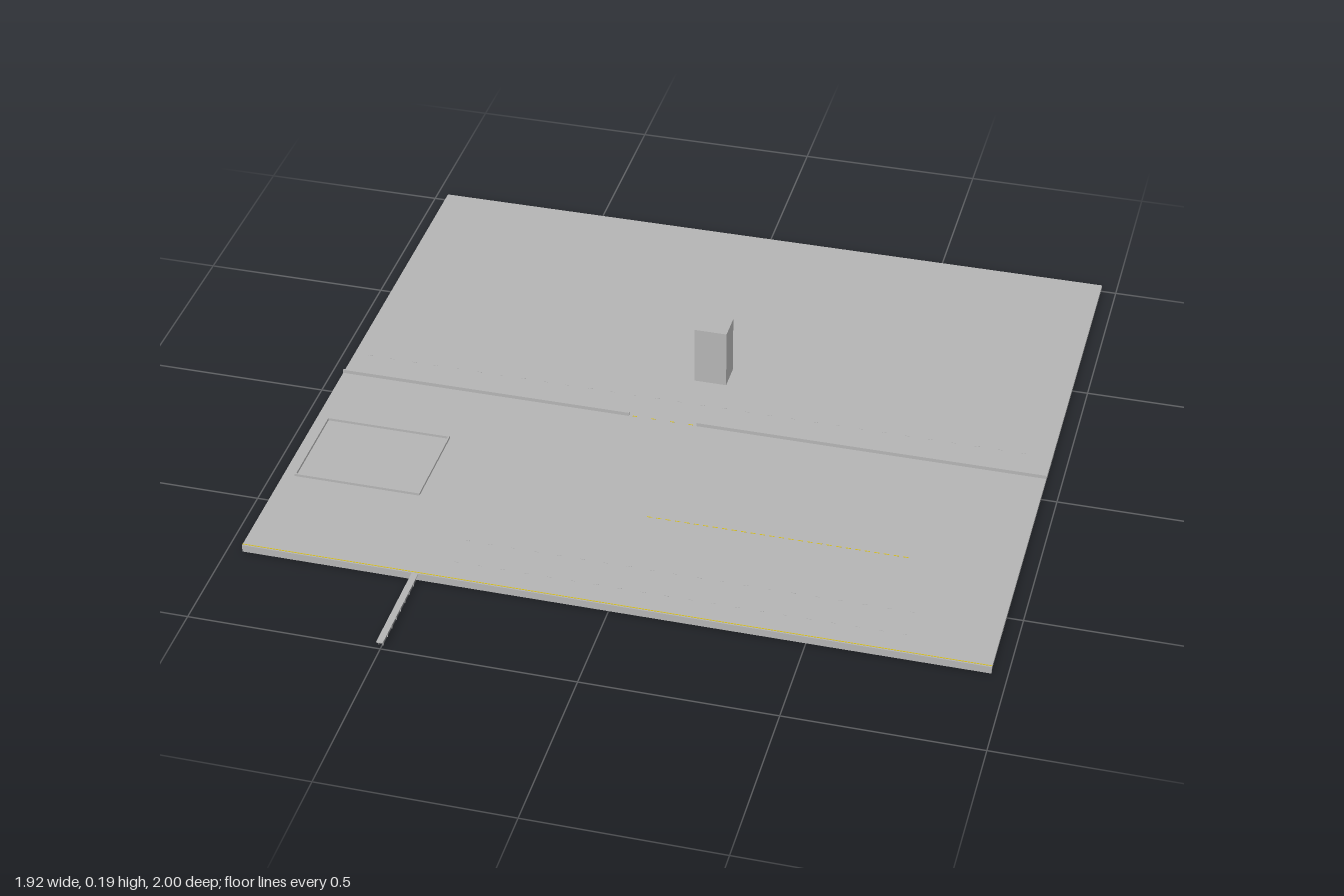
import * as THREE from 'three';

const concrete = new THREE.MeshStandardMaterial({ color: 0xb4b4b4 });
concrete.name = 'concrete grey';
const yellow = new THREE.MeshStandardMaterial({ color: 0xd8c020 });
yellow.name = 'marking yellow';

const TOP = 0.02; // ground level

// Box given by its limits on each axis
function block(parent, name, [x0, x1], [y0, y1], [z0, z1], material = concrete) {
  const mesh = new THREE.Mesh(new THREE.BoxGeometry(x1 - x0, y1 - y0, z1 - z0), material);
  mesh.position.set((x0 + x1) / 2, (y0 + y1) / 2, (z0 + z1) / 2);
  mesh.name = name;
  parent.add(mesh);
}

function group(parent, name) {
  const g = new THREE.Group();
  g.name = name;
  parent.add(g);
  return g;
}

// Row of thin dashes along x
function dashRow(parent, name, x0, x1, z, count, length, material) {
  const row = group(parent, name);
  for (let i = 0; i < count; i++) {
    const x = x0 + (x1 - x0 - length) * i / (count - 1);
    block(row, 'dash', [x, x + length], [TOP, TOP + 0.001], [z - 0.001, z + 0.001], material);
  }
}

export function createModel() {
  const model = new THREE.Group();
  model.name = 'harbourYard';
  const width = [-0.96, 0.96];

  // Ground slab, with shallow foundation strips under the roads
  block(model, 'groundSlab', width, [0.01, TOP], [-1, 0.72]);
  const strips = group(model, 'foundationStrips');
  for (const [z0, z1] of [[-0.19, -0.165], [-0.15, -0.125], [-0.11, -0.08], [0.555, 0.565]]) {
    block(strips, 'foundationStrip', width, [0.008, 0.0105], [z0, z1]);
  }

  // Quay wall and its yellow edge
  block(model, 'quayWall', width, [0, 0.0105], [0.716, 0.72]);
  block(model, 'quayEdgeLine', width, [TOP, TOP + 0.001], [0.714, 0.716], yellow);

  // Boundary wall with a gate opening
  block(model, 'boundaryWallRight', [-0.96, -0.16], [TOP, 0.03], [-0.068, -0.064]);
  block(model, 'boundaryWallLeft', [0.025, 0.96], [TOP, 0.03], [-0.068, -0.064]);
  dashRow(model, 'gateLine', -0.15, 0.015, -0.066, 4, 0.012, yellow);

  // Low kerb around the storage yard
  const kerb = group(model, 'yardKerb');
  for (const z of [0.15, 0.406]) block(kerb, 'longKerb', [-0.93, -0.59], [TOP, 0.027], [z, z + 0.004]);
  for (const x of [-0.93, -0.594]) block(kerb, 'shortKerb', [x, x + 0.004], [TOP, 0.027], [0.154, 0.406]);

  // Tower
  block(model, 'tower', [-0.032, 0.056], [TOP, 0.185], [-0.342, -0.266]);

  // Lane markings
  dashRow(model, 'roadDashes', -0.92, 0.89, -0.16, 30, 0.012, concrete);
  dashRow(model, 'quayDashesBack', -0.42, 0.74, 0.56, 20, 0.012, concrete);
  dashRow(model, 'quayDashesFront', -0.42, 0.74, 0.65, 20, 0.012, concrete);
  dashRow(model, 'yardDashes', 0, 0.68, 0.35, 28, 0.014, yellow);

  // Jetty on short piles
  const jetty = group(model, 'jetty');
  block(jetty, 'jettyDeck', [-0.51, -0.493], [0.018, TOP], [0.72, 1]);
  for (let i = 0; i < 8; i++) {
    const z = 0.75 + i * 0.034;
    for (const x of [-0.508, -0.497]) {
      block(jetty, 'pile', [x, x + 0.002], [0.004, 0.018], [z, z + 0.002]);
    }
  }
  return model;
}
